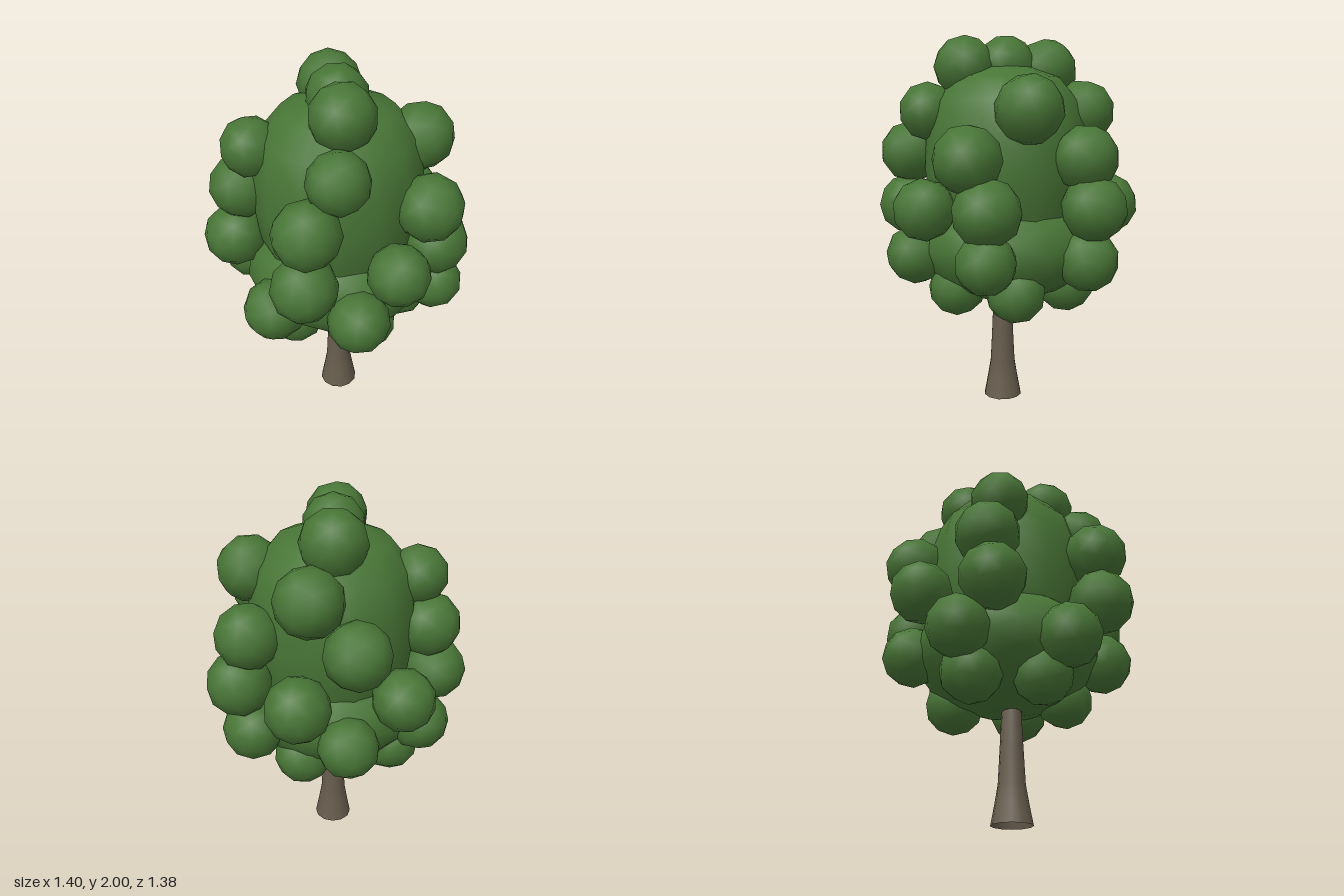
import * as THREE from 'three';

export function createModel() {
  const tree = new THREE.Group();
  tree.name = 'tree';

  const leafGreen = new THREE.MeshStandardMaterial({ color: 0x487536 });
  leafGreen.name = 'leafGreen';
  const barkBrown = new THREE.MeshStandardMaterial({ color: 0x675c4d, side: THREE.DoubleSide });
  barkBrown.name = 'barkBrown';

  const add = (parent, name, geometry, material, x, y, z) => {
    const mesh = new THREE.Mesh(geometry, material);
    mesh.name = name;
    mesh.position.set(x, y, z);
    parent.add(mesh);
    return mesh;
  };
  const lathe = (profile, sides) =>
    new THREE.LatheGeometry(profile.map(p => new THREE.Vector2(...p)), sides);

  // Trunk: flared foot, open underneath
  const trunkProfile = [[0.106, 0], [0.087, 0.1], [0.07, 0.2], [0.06, 0.4], [0.053, 0.56], [0.04, 0.7]];
  add(tree, 'trunk', lathe(trunkProfile, 12), barkBrown, 0.016, 0, 0.055);

  // Short branches reaching into the crown
  for (let i = 0; i < 3; i++) {
    const a = 0.5 + i * Math.PI * 2 / 3;
    const path = new THREE.LineCurve3(
      new THREE.Vector3(0.016, 0.56, 0.055),
      new THREE.Vector3(0.016 + Math.cos(a) * 0.12, 0.66, 0.055 + Math.sin(a) * 0.12));
    add(tree, 'branch', new THREE.TubeGeometry(path, 1, 0.02, 6), barkBrown, 0, 0, 0);
  }

  // Crown core: a full dome resting on a wider, flatter mass
  const crown = new THREE.Group();
  crown.name = 'crown';
  tree.add(crown);
  const domeProfile = [[0.36, 0.95], [0.42, 1.09], [0.445, 1.3], [0.435, 1.5], [0.39, 1.66],
    [0.29, 1.78], [0.13, 1.84], [0, 1.85]];
  add(crown, 'upperCrown', lathe(domeProfile, 14), leafGreen, 0, 0, 0.035);
  add(crown, 'lowerCrown', new THREE.IcosahedronGeometry(1, 2), leafGreen, 0, 0.89, 0.04)
    .scale.set(0.5, 0.32, 0.5);

  // Leaf clumps in rings: x, y, z, radius
  const clumps = {
    topClump: [
      [0.19, 1.835, 0.16, 0.165], [0, 1.845, 0.04, 0.16], [-0.2, 1.825, -0.07, 0.17],
    ],
    shoulderClump: [
      [0.33, 1.605, 0.3, 0.155], [-0.235, 1.6, 0.4, 0.155], [0.22, 1.61, -0.325, 0.175],
      [-0.295, 1.6, -0.25, 0.175],
    ],
    upperClump: [
      [0.31, 1.385, 0.47, 0.17], [-0.315, 1.355, 0.425, 0.17], [0.475, 1.37, -0.155, 0.175],
      [-0.495, 1.38, -0.1, 0.17], [-0.05, 1.37, -0.465, 0.17],
    ],
    middleClump: [
      [0.31, 1.09, 0.495, 0.17], [-0.315, 1.08, 0.485, 0.17], [0.54, 1.115, 0.095, 0.16],
      [-0.545, 1.1, 0.14, 0.162], [0.44, 1.12, -0.25, 0.175], [-0.38, 1.1, -0.36, 0.17],
      [-0.045, 1.12, -0.525, 0.17],
    ],
    lowerClump: [
      [0.087, 0.84, 0.525, 0.165], [0.45, 0.855, 0.27, 0.162], [-0.42, 0.855, 0.33, 0.162],
      [0.45, 0.87, -0.25, 0.155], [-0.475, 0.86, -0.13, 0.16], [-0.07, 0.845, -0.47, 0.165],
    ],
    underClump: [
      [0.03, 0.68, 0.36, 0.155], [0.315, 0.68, 0.1, 0.155], [-0.3, 0.68, 0.23, 0.16],
      [0.22, 0.68, -0.235, 0.155], [-0.18, 0.67, -0.235, 0.16],
    ],
  };
  const clumpShape = new THREE.IcosahedronGeometry(1, 1);
  for (const [name, list] of Object.entries(clumps)) {
    list.forEach(([x, y, z, r], i) => {
      const mesh = add(crown, name, clumpShape, leafGreen, x, y, z);
      mesh.scale.setScalar(r);
      mesh.rotation.set(i * 0.7, i * 1.3 + y, 0);
    });
  }

  return tree;
}
